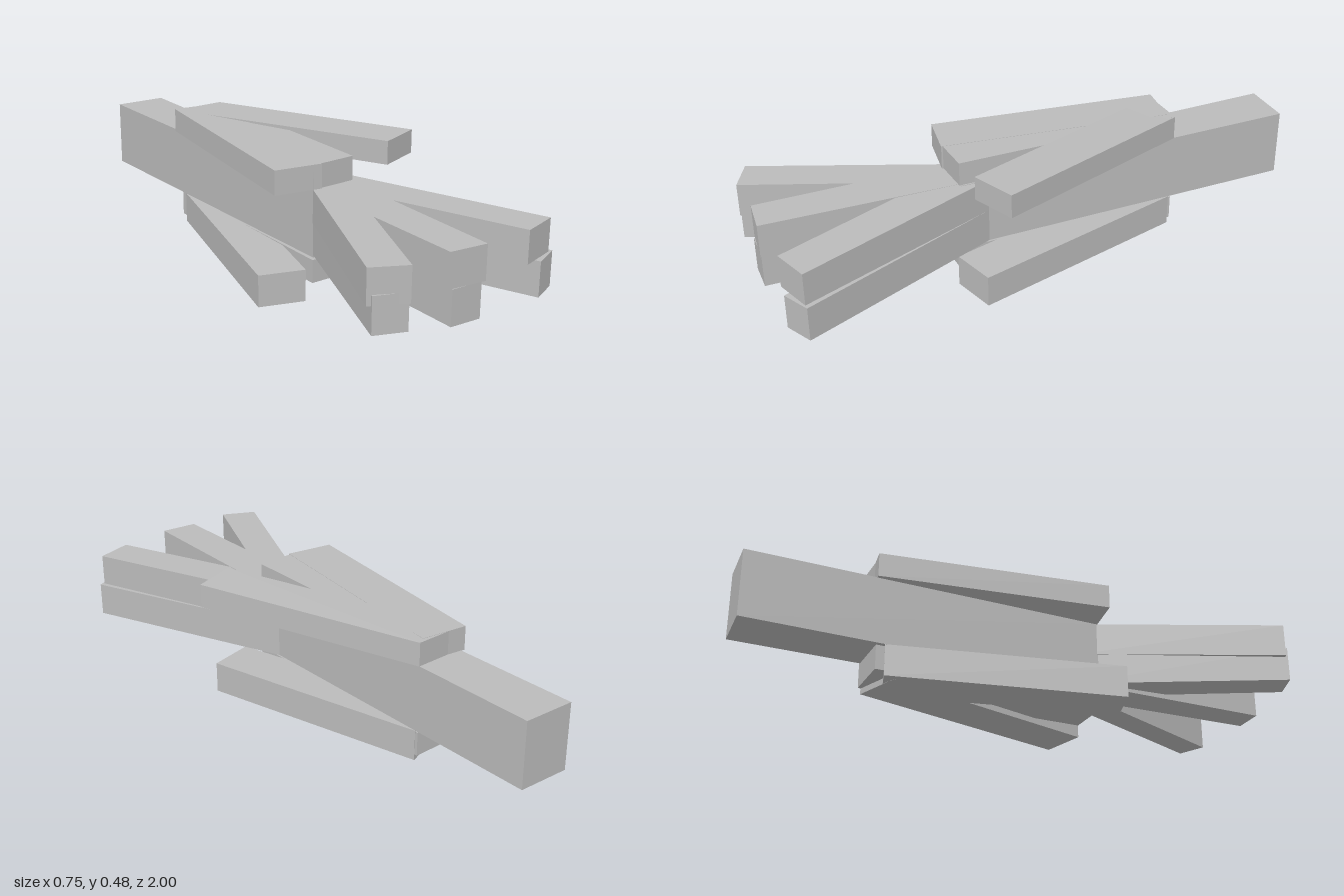
import * as THREE from 'three';

// Six-sided bar between a front and a back end.
// Corners are [x, z] as seen from the front (fl = front, -x side); y ranges are [bottom, top].
function bar(name, material, fl, fr, bl, br, yFront, yBack = yFront) {
  const box = new THREE.BoxGeometry(1, 1, 1);
  const p = box.attributes.position;
  for (let i = 0; i < p.count; i++) {
    const front = p.getZ(i) > 0;
    const right = p.getX(i) > 0;
    const [x, z] = front ? (right ? fr : fl) : (right ? br : bl);
    const y = (front ? yFront : yBack)[p.getY(i) > 0 ? 1 : 0];
    p.setXYZ(i, x, y, z);
  }
  const geometry = box.toNonIndexed();
  geometry.computeVertexNormals();
  const mesh = new THREE.Mesh(geometry, material);
  mesh.name = name;
  return mesh;
}

export function createModel() {
  const model = new THREE.Group();
  model.name = 'splayedBars';
  const grey = new THREE.MeshStandardMaterial({ color: 0xbbbbbb });
  grey.name = 'plain grey';
  const add = (...args) => {
    const [name, ...rest] = args;
    model.add(bar(name, grey, ...rest));
  };

  // Central beam running to the back
  add('centralBeam', [-0.1, 0.31], [0.073, 0.3], [-0.11, -1], [0.079, -0.99], [0.133, 0.376]);

  // Upper layer of front prongs
  const upper = [0.255, 0.375];
  add('upperRightProng', [-0.378, 0.93], [-0.26, 0.99], [-0.075, 0.25], [0.04, 0.3], upper);
  add('upperMiddleProng', [-0.105, 0.98], [0.03, 0.995], [-0.095, 0.2], [0.06, 0.2], upper);
  add('upperLeftProng', [0.222, 0.98], [0.355, 0.94], [-0.06, 0.25], [0.073, 0.2], [0.255, 0.37], [0.255, 0.375]);

  // Lower layer of front prongs
  const lower = [0.133, 0.255];
  add('lowerRightProng', [-0.368, 0.945], [-0.262, 0.985], [-0.075, 0.25], [0.035, 0.3], [0.165, 0.29], [0.14, 0.255]);
  add('lowerMiddleProng', [-0.095, 0.985], [0.018, 0.99], [-0.09, 0.2], [0.045, 0.2], lower);
  add('lowerLeftProng', [0.275, 0.985], [0.373, 0.94], [-0.02, 0.25], [0.073, 0.2], lower);

  // Slabs fanned out on top of the beam
  add('topRightSlab', [-0.24, 0.285], [-0.07, 0.315], [-0.12, -0.54], [0.05, -0.515], [0.375, 0.462]);
  add('topMiddleSlab', [-0.1, 0.31], [0.067, 0.305], [-0.1, -0.53], [0.077, -0.53], [0.375, 0.461]);
  add('topLeftSlab', [0.216, 0.31], [0.376, 0.25], [-0.085, -0.465], [0.077, -0.53], [0.402, 0.487], [0.375, 0.46]);

  // Slabs fanned out underneath
  add('bottomRightSlab', [-0.318, 0.3], [-0.16, 0.35], [-0.105, -0.5], [0.06, -0.45], [0.003, 0.117], [0.02, 0.133]);
  add('bottomMiddleSlab', [-0.102, 0.31], [0.068, 0.31], [-0.1, -0.53], [0.075, -0.53], [0.04, 0.124], [0.04, 0.128]);
  add('bottomLeftSlab', [0.124, 0.34], [0.288, 0.3], [-0.09, -0.46], [0.077, -0.52], [0.019, 0.132]);

  return model;
}
